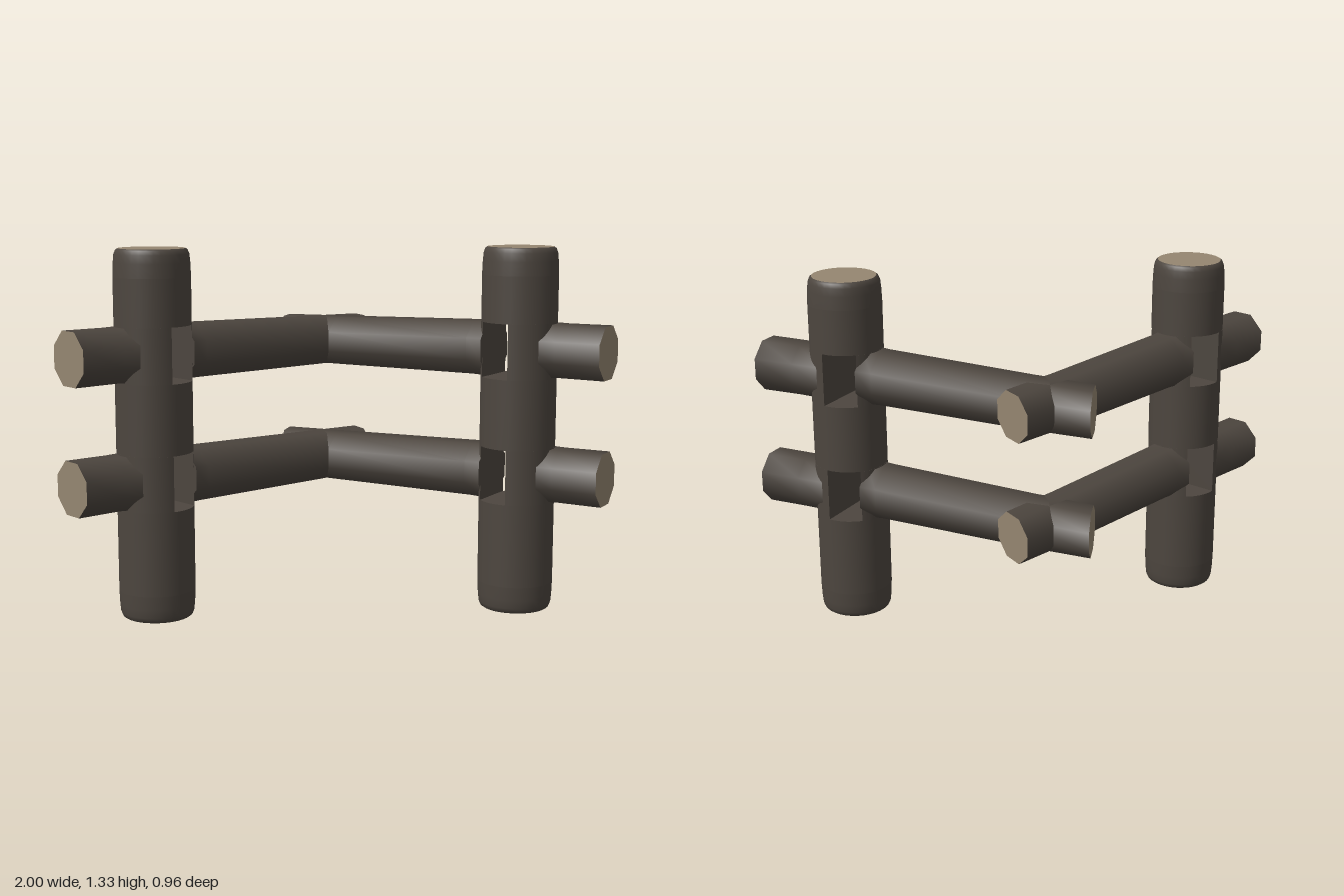
import * as THREE from 'three';
import { toCreasedNormals } from 'three/addons/utils/BufferGeometryUtils.js';

const R = 0.138, HEIGHT = 1.33, BEVEL = 0.1;
const SLOT_H = 0.2, SLOTS = [0.405, 0.86];   // slot floors, one per rail
const SLOT_IN = 0.1, SLOT_OUT = -0.02;       // slot walls, measured along the rail
const POST_X = 0.66, POST_Z = 0.225, ANGLE = 0.655;

const bark = new THREE.MeshStandardMaterial({ color: 0x4d463f });
bark.name = 'bark';
const cutWood = new THREE.MeshStandardMaterial({ color: 0x958671 });
cutWood.name = 'cutWood';

function add(parent, name, geometry, material) {
  const mesh = new THREE.Mesh(geometry, material);
  mesh.name = name;
  parent.add(mesh);
  return mesh;
}

// Eight-sided log through rings [x, y, z, halfWidth, halfHeight, facingX, facingZ]
function logGeometry(rings) {
  const N = 8, k = 1 / Math.cos(Math.PI / N);
  const centres = rings.map(([x, y, z]) => [x, y, z]);
  const loops = rings.map(([x, y, z, w, h, fx, fz]) => {
    const len = Math.hypot(fx, fz);
    return Array.from({ length: N }, (_, j) => {
      const a = ((j + 0.5) / N) * Math.PI * 2;
      const c = Math.cos(a) * w * k / len;
      return [x - fz * c, y + Math.sin(a) * h * k, z + fx * c];
    });
  });
  const pos = [];
  const tri = (...pts) => pts.forEach((p) => pos.push(...p));
  for (let i = 0; i < loops.length - 1; i++) {
    for (let j = 0; j < N; j++) {
      const n = (j + 1) % N;
      const a = loops[i][j], b = loops[i][n], c = loops[i + 1][n], d = loops[i + 1][j];
      tri(a, d, b);
      tri(d, c, b);
    }
  }
  const sideCount = pos.length / 3;
  const last = loops.length - 1;
  for (let j = 0; j < N; j++) tri(centres[0], loops[0][j], loops[0][(j + 1) % N]);
  for (let j = 0; j < N; j++) tri(centres[last], loops[last][(j + 1) % N], loops[last][j]);
  const g = new THREE.BufferGeometry();
  g.setAttribute('position', new THREE.Float32BufferAttribute(pos, 3));
  const out = toCreasedNormals(g, 0.9);
  out.clearGroups();
  out.addGroup(0, sideCount, 0);
  out.addGroup(sideCount, N * 3, 1);
  out.addGroup(sideCount + N * 3, N * 3, 2);
  return out;
}

// Part of the post left standing beside a slot
function cheekGeometry(from, to) {
  const shape = new THREE.Shape();
  shape.absarc(0, 0, R, from, to, false);
  shape.closePath();
  const g = new THREE.ExtrudeGeometry(shape, { depth: SLOT_H, bevelEnabled: false, curveSegments: 16 });
  g.rotateX(-Math.PI / 2);
  return toCreasedNormals(g, 0.6);
}

function makePost(side) {
  const post = new THREE.Group();
  post.name = side > 0 ? 'leftPost' : 'rightPost';
  post.position.set(side * POST_X, 0, POST_Z);
  post.rotation.y = side > 0 ? Math.PI - ANGLE : ANGLE;

  // Solid lengths between the slots
  const spans = [
    [BEVEL, SLOTS[0]],
    [SLOTS[0] + SLOT_H, SLOTS[1]],
    [SLOTS[1] + SLOT_H, HEIGHT - BEVEL],
  ];
  for (const [a, b] of spans) {
    add(post, 'postTrunk', new THREE.CylinderGeometry(R, R, b - a, 32), bark).position.y = (a + b) / 2;
  }

  // Slot cheeks
  const aIn = Math.acos(SLOT_IN / R), aOut = Math.acos(SLOT_OUT / R);
  for (const y of SLOTS) {
    add(post, 'innerCheek', cheekGeometry(-aIn, aIn), bark).position.y = y;
    add(post, 'outerCheek', cheekGeometry(aOut, Math.PI * 2 - aOut), bark).position.y = y;
  }

  // Worn rims and sawn faces
  const rim = [[0.12, 0], [0.127, 0.005], [0.133, 0.02], [0.136, 0.05], [R, BEVEL]];
  const low = rim.map(([r, d]) => new THREE.Vector2(r, d));
  const high = rim.map(([r, d]) => new THREE.Vector2(r, HEIGHT - d)).reverse();
  add(post, 'bottomRim', new THREE.LatheGeometry(low, 32), bark);
  add(post, 'topRim', new THREE.LatheGeometry(high, 32), bark);
  const top = add(post, 'topFace', new THREE.CircleGeometry(0.12, 32), cutWood);
  top.position.y = HEIGHT;
  top.rotation.x = -Math.PI / 2;
  add(post, 'bottomFace', new THREE.CircleGeometry(0.12, 32), cutWood).rotation.x = Math.PI / 2;
  return post;
}

function makeRail(side, floor, level) {
  const rail = new THREE.Group();
  rail.name = level + (side > 0 ? 'LeftRail' : 'RightRail');
  // Rings are laid out from the outer end towards the crossing
  const place = (rings) => rings.map(([x, y, z, w, h, fx, fz]) => [-side * x, floor + y, z, w, h, -side * fx, fz]);
  const stub = place([
    [-0.945, 0.1, 0.4, 0.097, 0.096, 0.82, -0.57],
    [-0.81, 0.1, 0.303, 0.098, 0.095, 0.81, -0.59],
    [-0.7, 0.1, 0.235, 0.11, 0.1, 0.79, -0.61],
  ]);
  const beam = place([
    [-0.58, 0.1, 0.164, 0.108, 0.1, 0.79, -0.61],
    [-0.53, 0.099, 0.126, 0.101, 0.097, 0.79, -0.61],
    [-0.06, 0.09, -0.234, 0.1, 0.09, 0.79, -0.61],
    [0.145, 0.088, -0.383, 0.105, 0.086, 0.94, -0.33],
  ]);
  add(rail, 'railStub', logGeometry(stub), [bark, cutWood, bark]);
  add(rail, 'railBeam', logGeometry(beam), [bark, bark, cutWood]);
  return rail;
}

export function createModel() {
  const fence = new THREE.Group();
  fence.name = 'cornerFence';
  for (const side of [-1, 1]) {
    fence.add(makePost(side));
    SLOTS.forEach((floor, i) => fence.add(makeRail(side, floor, i ? 'upper' : 'lower')));
  }
  return fence;
}
